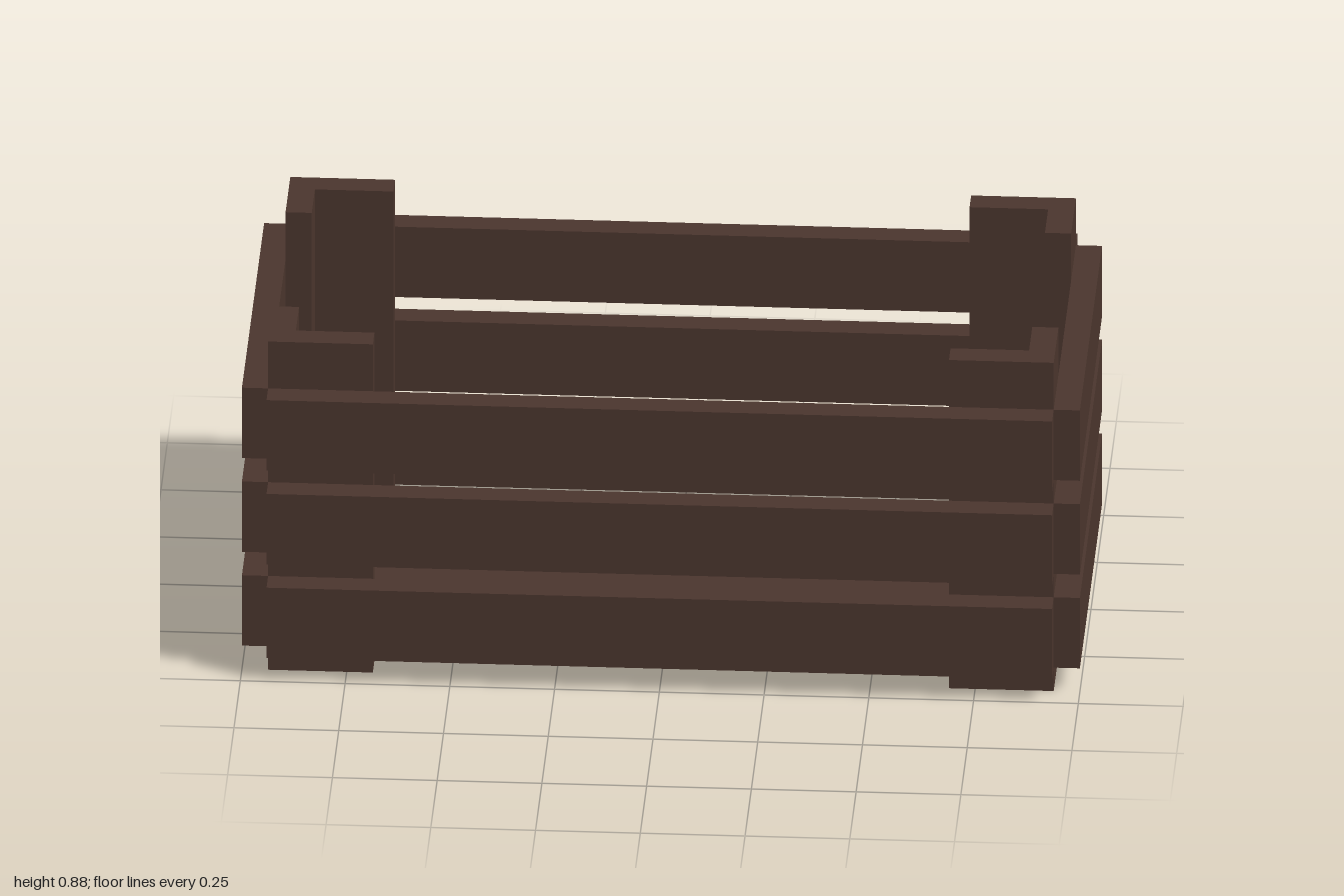
import * as THREE from 'three';

// Slatted wooden crate with L-shaped corner posts
export function createModel() {
  const crate = new THREE.Group();
  crate.name = 'crate';

  const wood = new THREE.MeshStandardMaterial({ color: 0x4a352d, flatShading: true });
  wood.name = 'darkWood';

  const T = 0.0625; // board thickness
  const HX = 0.9375, HZ = 0.4375; // outer half extents of the posts

  function add(name, geometry, x = 0, y = 0, z = 0) {
    const mesh = new THREE.Mesh(geometry, wood);
    mesh.name = name;
    mesh.position.set(x, y, z);
    crate.add(mesh);
  }

  // Floor panel, standing on the ground between the posts
  add('floor', new THREE.BoxGeometry(2 * (HX - T), T, 2 * (HZ - T)), 0, T / 2, 0);

  // Three rows of slats on all four sides
  const longSlat = new THREE.BoxGeometry(2 * HX, 0.1875, T);
  const shortSlat = new THREE.BoxGeometry(T, 0.1875, 2 * HZ);
  for (let row = 0; row < 3; row++) {
    const y = 0.15625 + row * 0.25;
    add('frontSlat', longSlat, 0, y, HZ + T / 2);
    add('backSlat', longSlat, 0, y, -HZ - T / 2);
    add('leftSlat', shortSlat, HX + T / 2, y, 0);
    add('rightSlat', shortSlat, -HX - T / 2, y, 0);
  }

  // L-shaped corner posts, extruded upwards
  const profile = [
    [HX, HZ], [HX - 0.25, HZ], [HX - 0.25, HZ - T],
    [HX - T, HZ - T], [HX - T, HZ - 0.1875], [HX, HZ - 0.1875],
  ];
  for (const sx of [1, -1]) {
    for (const sz of [1, -1]) {
      const shape = new THREE.Shape(profile.map(([x, z]) => new THREE.Vector2(sx * x, -sz * z)));
      const post = new THREE.ExtrudeGeometry(shape, { depth: 0.875, bevelEnabled: false });
      post.rotateX(-Math.PI / 2);
      add((sz > 0 ? 'front' : 'back') + (sx > 0 ? 'Left' : 'Right') + 'Post', post);
    }
  }

  return crate;
}
